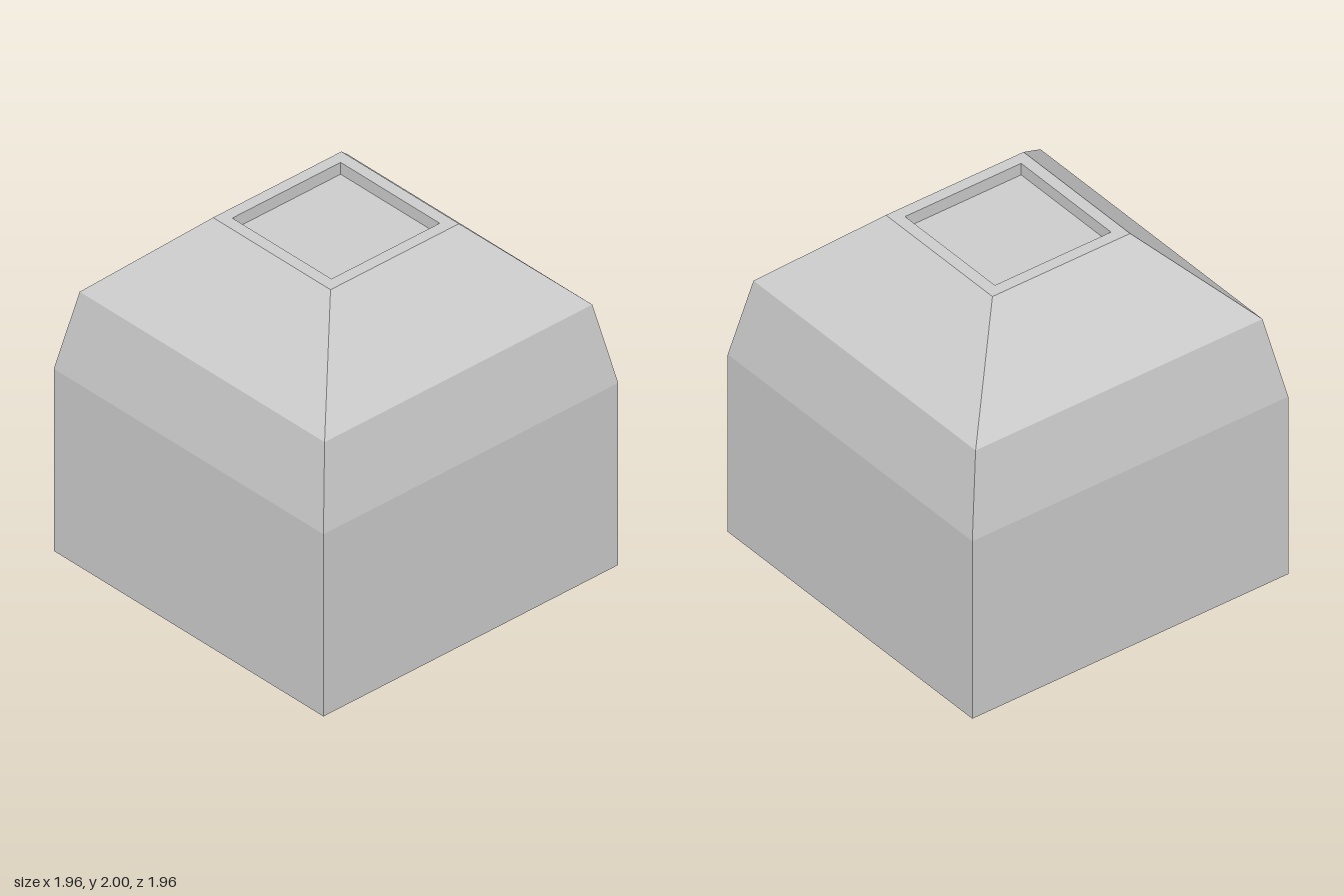
import * as THREE from 'three';

const material = new THREE.MeshStandardMaterial({ color: 0xcccccc, flatShading: true });

// Sweeps a profile of [half width, height] points around a square, bottom to top outside.
function squareLathe(name, profile) {
  const points = profile.map(([half, y]) => new THREE.Vector2(half * Math.SQRT2, y));
  const mesh = new THREE.Mesh(new THREE.LatheGeometry(points, 4, Math.PI / 4), material);
  mesh.name = name;
  return mesh;
}

export function createModel() {
  const model = new THREE.Group();
  model.name = 'keyBlock';

  // Straight-sided lower block
  const base = new THREE.Mesh(new THREE.BoxGeometry(1.96, 1.08, 1.96), material);
  base.name = 'base';
  base.position.y = 0.54;
  model.add(base);

  // Tapered upper shell, flat rim and the walls of the recess
  model.add(squareLathe('taperedTop', [
    [0.98, 1.08], [0.89, 1.54], [0.427, 2], [0.36, 2], [0.36, 1.93],
  ]));

  // Sunken square panel
  const panel = new THREE.Mesh(new THREE.PlaneGeometry(0.72, 0.72), material);
  panel.name = 'recessPanel';
  panel.rotation.x = -Math.PI / 2;
  panel.position.y = 1.93;
  model.add(panel);

  return model;
}
